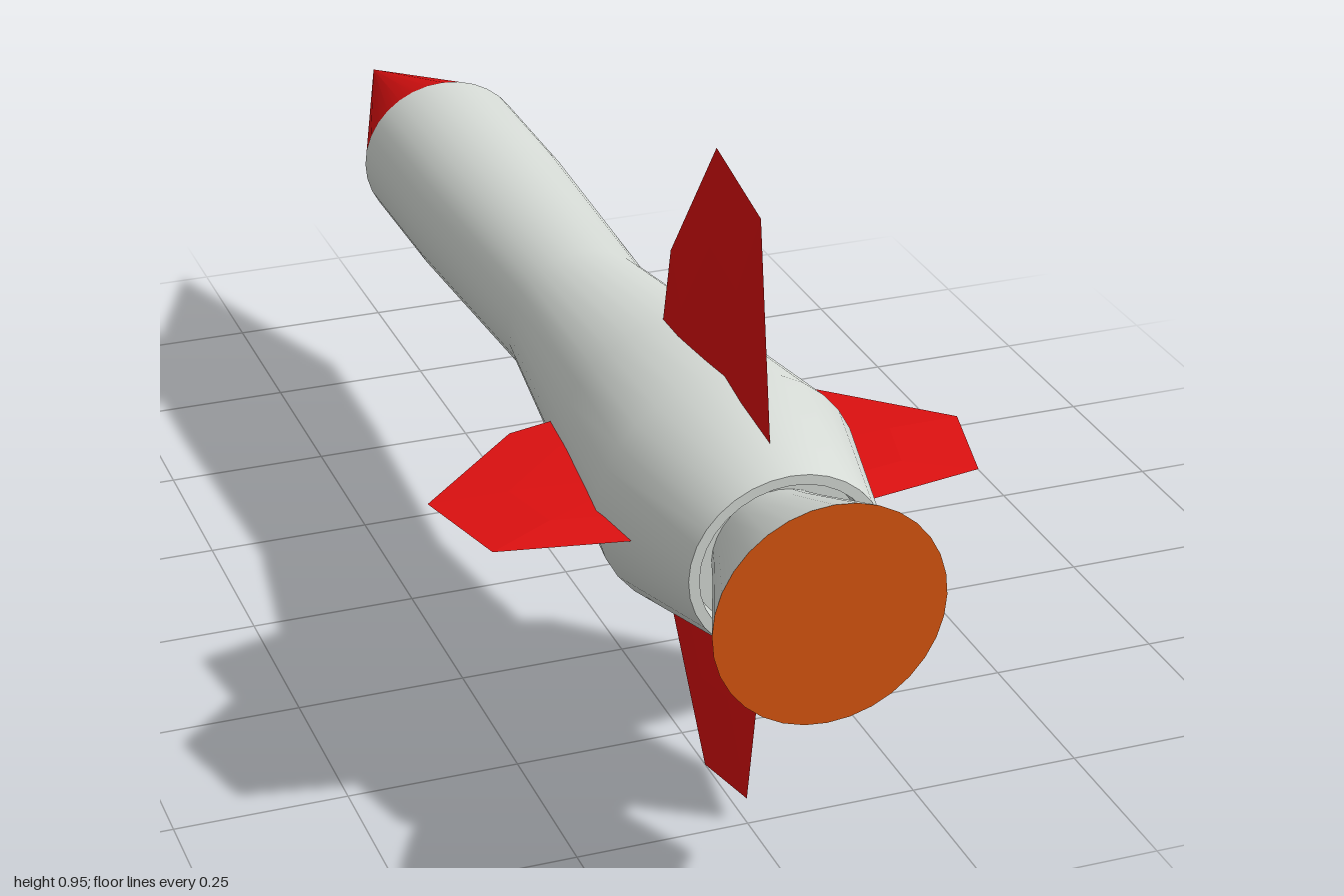
import * as THREE from 'three';

const CENTRE_Y = 0.465;
const SIDES = 32;

function material(name, color) {
  const m = new THREE.MeshStandardMaterial({ color });
  m.name = name;
  return m;
}

// Surface of revolution along z from [radius, z] points with rising z
function turned(name, points, mat, widen = 1) {
  const geo = new THREE.LatheGeometry(points.map(([r, z]) => new THREE.Vector2(r, z)), SIDES);
  geo.rotateX(Math.PI / 2);
  geo.scale(widen, 1, 1);
  const mesh = new THREE.Mesh(geo, mat);
  mesh.name = name;
  return mesh;
}

// Fin lying in the x-z plane: thick at the root, bevelled to a sharp outline
function finGeometry(outline, thickness) {
  const root = [outline[0][0], 0.58];
  const inner = outline.map(([u, z]) => [
    u + (root[0] - u) * 0.38, z + (root[1] - z) * 0.38]);
  const pos = [];
  for (const side of [1, -1]) {
    const tri = (a, b, c) => pos.push(...(side > 0 ? [a, b, c] : [a, c, b]).flat());
    const at = ([u, z], t) => [u, t * side, z];
    for (let i = 0; i < outline.length - 1; i++) {
      const a = at(outline[i], 0), b = at(outline[i + 1], 0);
      const c = at(inner[i], thickness * 0.75), d = at(inner[i + 1], thickness * 0.75);
      tri(a, b, d);
      tri(a, d, c);
      tri(at(root, thickness), c, d);
    }
  }
  const geo = new THREE.BufferGeometry();
  geo.setAttribute('position', new THREE.Float32BufferAttribute(pos, 3));
  geo.computeVertexNormals();
  return geo;
}

export function createModel() {
  const group = new THREE.Group();
  group.name = 'rocket';
  const white = material('pale grey', 0xd5dad5);
  const red = material('red', 0xdc1010);
  const orange = material('orange', 0xd9560f);

  const hull = new THREE.Group();
  hull.name = 'hull';
  hull.position.set(0.002, CENTRE_Y, 0);
  group.add(hull);

  // Fuselage, slightly wider than tall, with a waist
  const widen = 1.07;
  hull.add(turned('body', [
    [0.126, -0.6], [0.125, -0.35], [0.11, 0.07], [0.153, 0.43], [0.178, 0.65], [0.13, 0.86],
  ], white, widen));
  hull.add(turned('noseCone', [[0, -1], [0.126, -0.6]], red, widen));

  // Tail rim with a shallow recess around the nozzle
  hull.add(turned('tailRim', [[0.13, 0.86], [0.116, 0.86]], white, widen));
  hull.add(turned('tailRecess', [[0.116, 0.86], [0.112, 0.82]], white, widen));
  hull.add(turned('tailPlate', [[0.112, 0.82], [0, 0.82]], white, widen));

  // Flared nozzle closed by a glowing disc
  hull.add(turned('nozzle', [[0.09, 0.82], [0.104, 0.86], [0.159, 1]], white, 1.02));
  const glow = new THREE.Mesh(new THREE.CircleGeometry(0.159, SIDES), orange);
  glow.name = 'exhaust';
  glow.scale.x = 1.02;
  glow.position.z = 1;
  hull.add(glow);

  // Two tall fins and two short fins around the tail
  const tall = finGeometry(
    [[0.1, 0.8], [0.436, 0.745], [0.473, 0.59], [0.258, 0.43], [0.1, 0.395]], 0.008);
  const short = finGeometry(
    [[0.1, 0.745], [0.35, 0.7], [0.39, 0.545], [0.22, 0.385], [0.1, 0.355]], 0.009);
  ['leftFin', 'topFin', 'rightFin', 'bottomFin'].forEach((name, i) => {
    const fin = new THREE.Mesh(i % 2 ? tall : short, red);
    fin.name = name;
    fin.rotation.z = i * Math.PI / 2;
    fin.position.y = i % 2 ? 0.473 : CENTRE_Y;
    group.add(fin);
  });
  return group;
}
